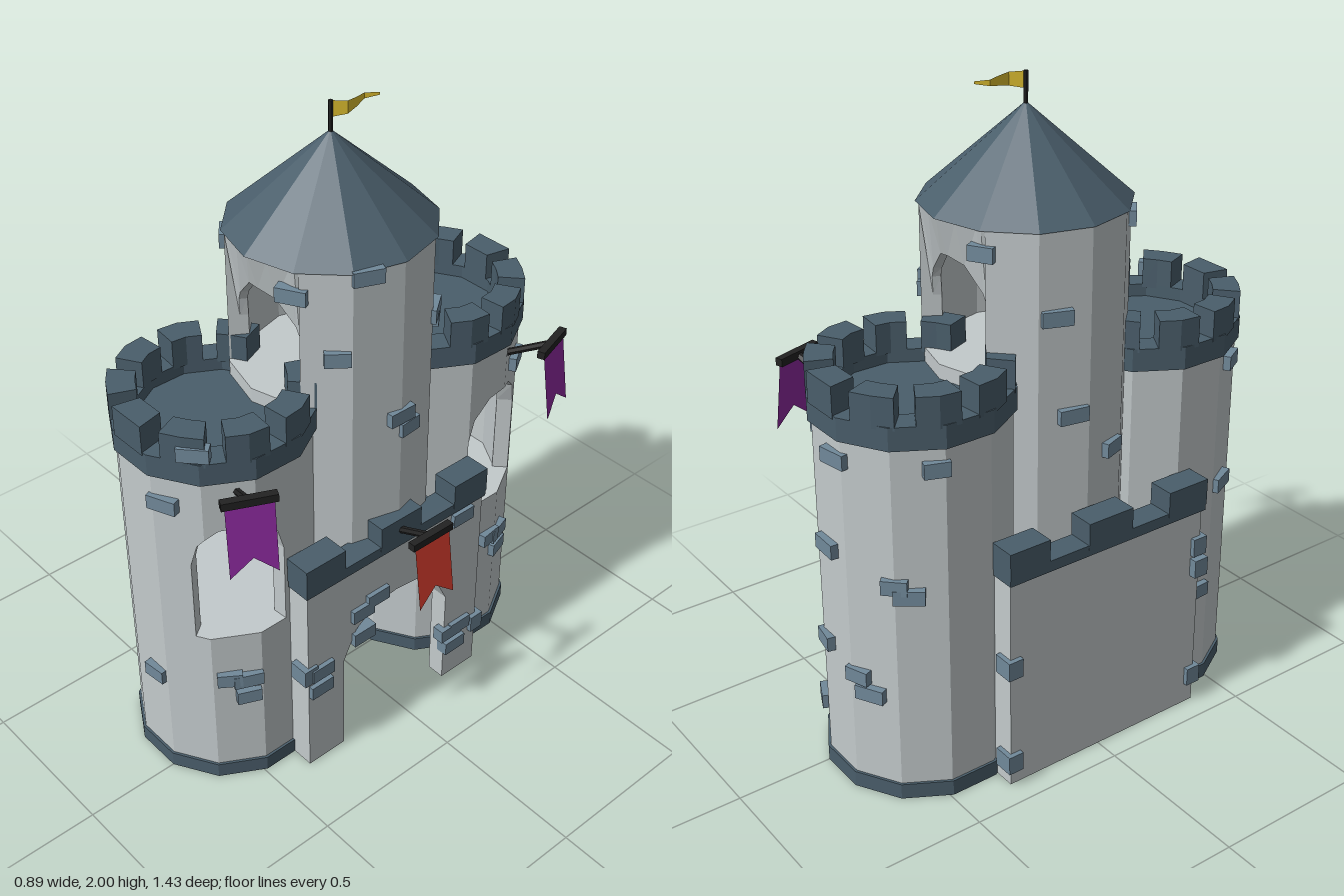
import * as THREE from 'three';
import { mergeGeometries } from 'three/addons/utils/BufferGeometryUtils.js';

const mat = (color, side = THREE.FrontSide) => new THREE.MeshStandardMaterial({ color, side, flatShading: true });
const STONE = mat(0xc3cacc), SLATE = mat(0x4a5e6b), BRICK = mat(0x71899a), WOOD = mat(0x222222);
const PURPLE = mat(0x8e2aa0, THREE.DoubleSide), RED = mat(0xe04030, THREE.DoubleSide), YELLOW = mat(0xe0c030, THREE.DoubleSide);
const RAD = Math.PI / 180;
const SIDES = 12, STEP = 360 / SIDES;

function add(parent, name, geo, material, x = 0, y = 0, z = 0) {
  const m = new THREE.Mesh(geo, material);
  m.name = name;
  m.position.set(x, y, z);
  parent.add(m);
  return m;
}
const box = (g, name, m, x0, x1, y0, y1, z0, z1) =>
  add(g, name, new THREE.BoxGeometry(x1 - x0, y1 - y0, z1 - z0), m, (x0 + x1) / 2, (y0 + y1) / 2, (z0 + z1) / 2);

// radius of a 12-sided outline at an angle in degrees
function polyR(a, r, off) {
  const d = (((a - off) % STEP) + STEP) % STEP - STEP / 2;
  return r * Math.cos(STEP / 2 * RAD) / Math.cos(d * RAD);
}

// curved block between two angles; heights are [at a0, at a1], lowR is the outer radius at the bottom
function block(a0, a1, ri, ro, bottom, top, off, lowR = ro) {
  const geo = new THREE.BoxGeometry(1, 1, 1).toNonIndexed();
  const p = geo.attributes.position;
  for (let i = 0; i < p.count; i++) {
    const k = p.getZ(i) > 0 ? 1 : 0, up = p.getY(i) > 0;
    const a = k ? a1 : a0;
    const r = polyR(a, p.getX(i) > 0 ? (up ? ro : lowR) : ri, off);
    p.setXYZ(i, r * Math.cos(a * RAD), (up ? top : bottom)[k], r * Math.sin(a * RAD));
  }
  geo.computeVertexNormals();
  return geo;
}

// ring wall with arched openings that start at its foot
function ringWall(ri, ro, y0, y1, off, arches = [], lowR = ro) {
  const delta = (a, c) => ((a - c + 900) % 360) - 180;
  const norm = a => ((a % 360) + 360) % 360;
  const cuts = [];
  for (let i = 0; i < SIDES; i++) cuts.push(norm(off + i * STEP));
  for (const w of arches) for (const u of [-1, -0.85, -0.4, 0.4, 0.85, 1]) cuts.push(norm(w.c + u * w.half));
  cuts.sort((a, b) => a - b);
  const parts = [];
  cuts.forEach((a0, i) => {
    const a1 = i + 1 < cuts.length ? cuts[i + 1] : cuts[0] + 360;
    if (a1 - a0 < 0.01) return;
    const w = arches.find(w => Math.abs(delta((a0 + a1) / 2, w.c)) < w.half);
    const h = a => w ? w.spring + (w.top - w.spring) * Math.sqrt(Math.max(0, 1 - (delta(a, w.c) / w.half) ** 2)) : y0;
    parts.push(block(a0, a1, ri, ro, [h(a0), h(a1)], [y1, y1], off, w ? lowR : ro));
  });
  return mergeGeometries(parts);
}

// solid 12-sided drum with a corner at angle off
function drum(r, y0, y1, off, rTop = r) {
  const g = new THREE.CylinderGeometry(rTop, r, y1 - y0, SIDES);
  g.rotateY((90 - off) * RAD);
  return g.translate(0, (y0 + y1) / 2, 0);
}

// banner pointing along +x from distance d0 to d1
function banner(name, material, d0, y0, d1, y1) {
  const g = new THREE.Group();
  g.name = name;
  const path = new THREE.LineCurve3(new THREE.Vector3(d0, y0, 0), new THREE.Vector3(d1, y1, 0));
  add(g, 'bannerPole', new THREE.TubeGeometry(path, 1, 0.011, 6), WOOD);
  box(g, 'bannerCrossbar', WOOD, d1 - 0.012, d1 + 0.012, y1 - 0.012, y1 + 0.012, -0.078, 0.078);
  const s = new THREE.Shape([[-0.068, 0], [-0.068, -0.23], [0, -0.175], [0.068, -0.23], [0.068, 0]].map(p => new THREE.Vector2(...p)));
  const cloth = add(g, 'bannerCloth', new THREE.ShapeGeometry(s).rotateY(Math.PI / 2).rotateZ(0.13), material, d1 + 0.005, y1, 0);
  cloth.name = 'bannerCloth';
  return g;
}

// pieces of proud stone set on a round wall: [angle, height]
function bricksRound(g, r, list) {
  list.forEach(([a, y], i) => {
    const b = add(g, 'brick', new THREE.BoxGeometry(0.035, 0.045, 0.075 + 0.015 * (i % 2)), BRICK,
      Math.cos(a * RAD) * r, y, Math.sin(a * RAD) * r);
    b.rotation.set(0, -a * RAD, 0);
  });
}

function sideTower(name, z, windowAngle, bannerAngle, bricks) {
  const g = new THREE.Group();
  g.name = name;
  g.position.set(-0.075, 0, z);
  const off = 15;
  add(g, 'towerPlinth', drum(0.293, 0, 0.05, off), SLATE);
  add(g, 'towerBase', drum(0.285, 0.02, 0.57, off), STONE);
  add(g, 'towerWall', ringWall(0.235, 0.285, 0.57, 1.15, off, [{ c: windowAngle, half: 29, spring: 0.84, top: 0.98 }]), STONE);
  add(g, 'towerDeck', drum(0.25, 1.13, 1.17, off), SLATE);
  add(g, 'towerCrown', ringWall(0.215, 0.296, 1.14, 1.21, off), SLATE);
  // battlements, leaving out those buried in the keep
  const inward = z > 0 ? 270 : 90;
  for (let i = 0; i < 10; i++) {
    const a = 18 + i * 36;
    if (Math.abs(a - inward) < 30) continue;
    add(g, 'merlon', mergeGeometries([block(a - 12.5, a, 0.215, 0.298, [1.2, 1.2], [1.295, 1.295], off),
      block(a, a + 12.5, 0.215, 0.298, [1.2, 1.2], [1.295, 1.295], off)]), SLATE);
  }
  const b = banner('towerBanner', PURPLE, 0.26, 1.09, 0.42, 1.18);
  b.rotation.y = -bannerAngle * RAD;
  g.add(b);
  bricksRound(g, 0.28, bricks);
  return g;
}

export function createModel() {
  const root = new THREE.Group();
  root.name = 'castle';

  root.add(sideTower('frontTower', 0.415, 25, 25,
    [[35, 0.41], [24, 0.4], [24, 0.335], [68, 1.05], [84, 0.37], [155, 0.7], [150, 1.1], [48, 1.24], [175, 0.35]]));
  root.add(sideTower('backTower', -0.415, -14, -18,
    [[-8, 0.41], [-18, 0.4], [-18, 0.34], [-32, 1.04], [-80, 0.45], [-88, 0.78], [-110, 0.4], [-118, 0.35],
      [-135, 0.72], [-143, 0.69], [-160, 1.08], [-100, 1.08], [-65, 0.2]]));

  // central keep with an open arched lookout
  const keep = new THREE.Group();
  keep.name = 'keep';
  keep.position.set(-0.045, 0, 0);
  add(keep, 'keepBody', drum(0.3, 0.62, 1.215, 0), STONE);
  add(keep, 'lookoutWall', ringWall(0.24, 0.3, 1.21, 1.65, 0,
    [{ c: 90, half: 32, spring: 1.36, top: 1.53 }, { c: 270, half: 32, spring: 1.36, top: 1.53 }], 0.265), STONE);
  add(keep, 'roof', drum(0.308, 1.645, 1.915, 0, 0.002), SLATE);
  bricksRound(keep, 0.292, [[38, 1.38], [-37, 1.39], [-42, 1.36], [0, 1.14], [-6, 1.09], [22, 1.63], [130, 1.6],
    [200, 1.4], [160, 0.95], [190, 1.1], [240, 1.58], [62, 1.57]]);
  add(keep, 'flagPole', new THREE.CylinderGeometry(0.007, 0.007, 0.11, 6), WOOD, 0, 1.945, 0);
  // waving pennant tapering toward the back
  const flag = new THREE.PlaneGeometry(1, 1, 4, 1);
  const fp = flag.attributes.position;
  for (let i = 0; i < fp.count; i++) {
    const t = fp.getX(i) + 0.5;
    fp.setXYZ(i, 0.035 * t + 0.018 * Math.sin(t * 6), 1.975 + 0.008 * t + fp.getY(i) * 0.048 * (1 - 0.85 * t), -0.15 * t);
  }
  add(keep, 'pennant', flag, YELLOW);
  root.add(keep);

  // gatehouse walls around the keep
  const gate = new THREE.Group();
  gate.name = 'gatehouse';
  const arch = [[-0.24, 0], [-0.24, 0.35], [-0.19, 0.45], [-0.11, 0.505], [-0.025, 0.515], [0.06, 0.505], [0.14, 0.45], [0.19, 0.35], [0.19, 0]];
  const face = new THREE.Shape([[-0.38, 0], ...arch, [0.33, 0], [0.33, 0.7], [-0.38, 0.7]].map(p => new THREE.Vector2(...p)));
  add(gate, 'gateWall', new THREE.ExtrudeGeometry(face, { depth: 0.06, bevelEnabled: false }).rotateY(Math.PI / 2), STONE, 0.22, 0, 0);
  box(gate, 'backWall', STONE, -0.42, -0.36, 0, 0.7, -0.33, 0.38);
  box(gate, 'backWallLining', BRICK, -0.361, -0.35, 0, 0.69, -0.32, 0.37);
  for (const [z0, z1] of [[-0.33, -0.28], [0.33, 0.38]]) {
    box(gate, 'frontReturnWall', STONE, 0.15, 0.23, 0, 0.7, z0, z1);
    box(gate, 'backReturnWall', STONE, -0.37, -0.28, 0, 0.7, z0, z1);
  }
  box(gate, 'gateRoof', SLATE, -0.4, 0.25, 0.66, 0.69, -0.2, 0.2);
  for (const [x0, x1] of [[-0.43, -0.35], [0.205, 0.287]]) {
    box(gate, 'parapet', SLATE, x0, x1, 0.69, 0.725, -0.337, 0.387);
    for (const [z0, z1] of [[0.24, 0.388], [-0.06, 0.1], [-0.338, -0.2]])
      box(gate, 'merlon', SLATE, x0 - 0.002, x1 + 0.002, 0.71, 0.795, z0, z1);
  }
  // proud stones on the front face and the corners
  for (const [z, y] of [[0.33, 0.375], [0.335, 0.31], [0.17, 0.515], [0.11, 0.54], [0.165, 0.42], [-0.25, 0.2], [-0.21, 0.195],
    [-0.23, 0.13], [-0.24, 0.66]])
    box(gate, 'brick', BRICK, 0.255, 0.295, y - 0.023, y + 0.023, z - 0.042, z + 0.042);
  for (const [x, y, z] of [[0.26, 0.38, 0.375], [0.265, 0.17, -0.325], [-0.41, 0.5, 0.37], [-0.4, 0.1, 0.37],
    [-0.4, 0.41, -0.32], [-0.4, 0.08, -0.32], [-0.4, 0.57, 0.37]])
    box(gate, 'cornerBrick', BRICK, x - 0.035, x + 0.03, y - 0.03, y + 0.03, z - 0.025, z + 0.025);
  const red = banner('gateBanner', RED, 0.25, 0.735, 0.41, 0.805);
  red.position.z = 0.02;
  gate.add(red);
  root.add(gate);

  return root;
}
